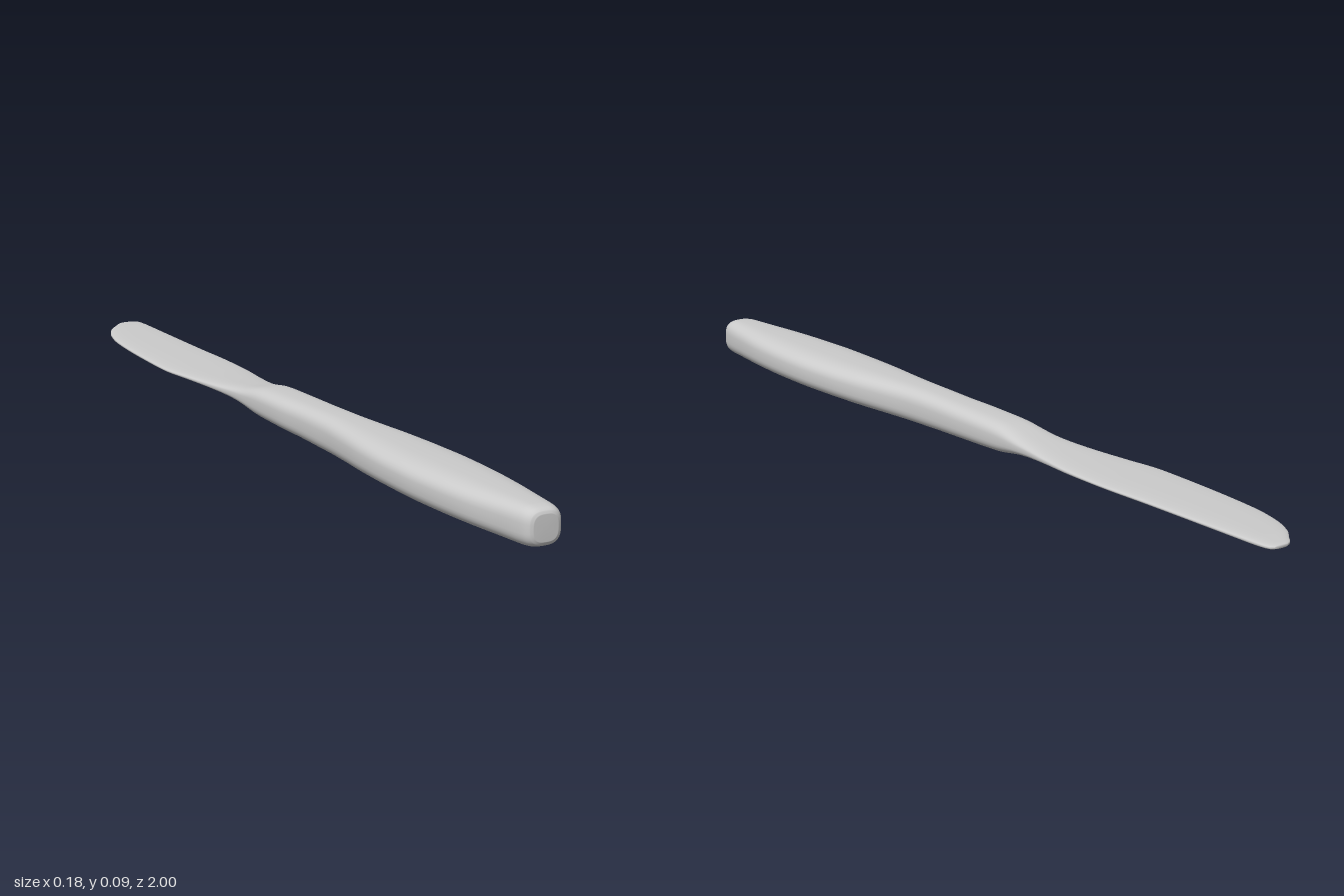
import * as THREE from 'three';

// Stations along the knife: z, left edge x, right edge x, half thickness
const STATIONS = [
  [-1, 0.022, 0.053, 0.003], [-0.992, 0.008, 0.062, 0.005], [-0.975, -0.006, 0.066, 0.006],
  [-0.94, -0.034, 0.068, 0.007], [-0.88, -0.06, 0.069, 0.007], [-0.8, -0.077, 0.07, 0.007],
  [-0.65, -0.089, 0.072, 0.007], [-0.5, -0.094, 0.076, 0.007], [-0.4, -0.082, 0.073, 0.008],
  [-0.3, -0.068, 0.063, 0.011], [-0.2, -0.057, 0.053, 0.019], [-0.1, -0.055, 0.05, 0.034],
  [0, -0.055, 0.05, 0.037], [0.1, -0.052, 0.05, 0.039], [0.2, -0.053, 0.053, 0.041],
  [0.3, -0.06, 0.064, 0.0415], [0.4, -0.07, 0.077, 0.042], [0.5, -0.076, 0.085, 0.042],
  [0.6, -0.078, 0.088, 0.0425], [0.7, -0.074, 0.085, 0.0425], [0.8, -0.066, 0.077, 0.042],
  [0.9, -0.051, 0.063, 0.0415], [0.965, -0.041, 0.053, 0.041], [0.985, -0.036, 0.048, 0.039],
  [0.996, -0.029, 0.041, 0.034], [1, -0.021, 0.033, 0.027],
];
const CENTRE_Y = 0.0425, SIDES = 48, STEPS = 5;

// Smooth interpolation of one column that never overshoots its stations
function column(k) {
  const n = STATIONS.length;
  const slope = (i) => (STATIONS[i + 1][k] - STATIONS[i][k]) / (STATIONS[i + 1][0] - STATIONS[i][0]);
  const tangent = STATIONS.map((_, i) => {
    if (i === 0) return slope(0);
    if (i === n - 1) return slope(n - 2);
    const a = slope(i - 1), b = slope(i);
    return a * b > 0 ? (2 * a * b) / (a + b) : 0;
  });
  return (i, t) => {
    const [p, q] = [STATIONS[i], STATIONS[i + 1]], h = q[0] - p[0], s = 1 - t;
    return p[k] * (1 + 2 * t) * s * s + tangent[i] * h * t * s * s
      + q[k] * t * t * (3 - 2 * t) - tangent[i + 1] * h * t * t * s;
  };
}

function knifeGeometry() {
  const left = column(1), right = column(2), half = column(3);
  const positions = [], index = [];
  const power = (v, e) => Math.sign(v) * Math.pow(Math.abs(v), e);
  const spans = STATIONS.length - 1, rings = spans * STEPS + 1;

  // Rounded cross-sections from blade tip to handle end
  for (let r = 0; r < rings; r++) {
    const i = Math.min(Math.floor(r / STEPS), spans - 1), t = r / STEPS - i;
    const z = THREE.MathUtils.lerp(STATIONS[i][0], STATIONS[i + 1][0], t);
    const l = left(i, t), w = right(i, t), h = half(i, t);
    for (let j = 0; j < SIDES; j++) {
      const a = (j / SIDES) * Math.PI * 2;
      positions.push((l + w) / 2 + ((w - l) / 2) * power(Math.cos(a), 0.68),
        CENTRE_Y + h * power(Math.sin(a), 0.68), z);
    }
  }
  for (let r = 0; r < rings - 1; r++) {
    for (let j = 0; j < SIDES; j++) {
      const k = (j + 1) % SIDES;
      const a = r * SIDES + j, b = r * SIDES + k, c = b + SIDES, d = a + SIDES;
      index.push(a, b, c, a, c, d);
    }
  }

  // Close both ends
  const tip = positions.length / 3, butt = tip + 1, last = (rings - 1) * SIDES;
  positions.push(0.0375, CENTRE_Y, -1, 0.006, CENTRE_Y, 1);
  for (let j = 0; j < SIDES; j++) {
    const k = (j + 1) % SIDES;
    index.push(tip, k, j, butt, last + j, last + k);
  }

  const geometry = new THREE.BufferGeometry();
  geometry.setAttribute('position', new THREE.Float32BufferAttribute(positions, 3));
  geometry.setIndex(index);
  geometry.computeVertexNormals();
  return geometry;
}

export function createModel() {
  const group = new THREE.Group();
  group.name = 'tableKnife';
  // Blade and handle are one continuous body
  const body = new THREE.Mesh(knifeGeometry(), new THREE.MeshStandardMaterial({ color: 0xcccccc }));
  body.name = 'bladeAndHandle';
  group.add(body);
  return group;
}
